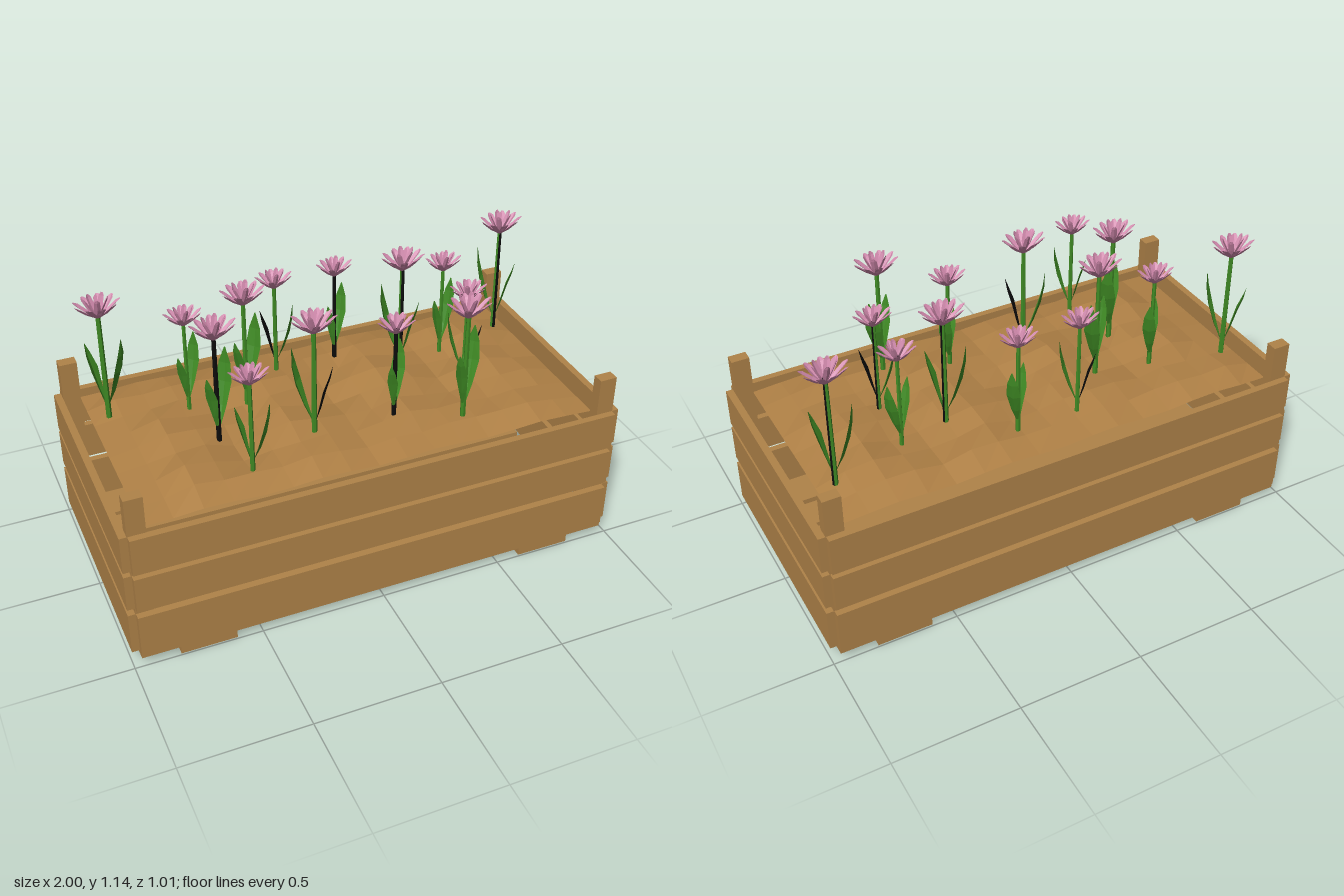
import * as THREE from 'three';

const mat = (name, color, extra = {}) => {
  const m = new THREE.MeshStandardMaterial({ color, ...extra });
  m.name = name;
  return m;
};

export function createModel() {
  const wood = mat('wood', 0xb08349);
  const soilMat = mat('soil', 0xb08146, { side: THREE.DoubleSide, flatShading: true });
  const green = mat('leaf green', 0x3f8a24, { side: THREE.DoubleSide, flatShading: true });
  const pink = mat('petal pink', 0xcf88ab, { side: THREE.DoubleSide, flatShading: true });
  const dark = mat('dark', 0x0c0c0c, { side: THREE.DoubleSide, flatShading: true });

  const model = new THREE.Group();
  model.name = 'flowerCrate';

  // Box given by its limits on each axis
  const box = (name, x0, x1, y0, y1, z0, z1) => {
    const mesh = new THREE.Mesh(new THREE.BoxGeometry(x1 - x0, y1 - y0, z1 - z0), wood);
    mesh.position.set((x0 + x1) / 2, (y0 + y1) / 2, (z0 + z1) / 2);
    mesh.name = name;
    model.add(mesh);
  };

  // Wall planks, three rows all round
  for (const [y0, y1] of [[0.062, 0.24], [0.267, 0.42], [0.44, 0.597]]) {
    box('frontPlank', -0.97, 0.97, y0, y1, 0.478, 0.505);
    box('backPlank', -0.97, 0.97, y0, y1, -0.505, -0.478);
    box('leftPlank', 0.972, 1, y0, y1, -0.478, 0.478);
    box('rightPlank', -1, -0.972, y0, y1, -0.478, 0.478);
  }

  // Corner posts and feet
  for (const s of [-1, 1]) {
    const [px0, px1] = s > 0 ? [0.902, 0.972] : [-0.972, -0.902];
    box('cornerPost', px0, px1, 0.062, 0.752, 0.432, 0.478);
    box('cornerPost', px0, px1, 0.062, 0.752, -0.478, -0.432);
    const [fx0, fx1] = s > 0 ? [0.6, 0.82] : [-0.82, -0.6];
    box('foot', fx0, fx1, 0, 0.04, -0.493, 0.493);
  }

  // Floor slats
  for (const [z0, z1] of [[0.327, 0.5], [0.175, 0.303], [0.02, 0.155],
    [-0.157, -0.005], [-0.31, -0.18], [-0.5, -0.33]]) {
    box('floorSlat', -0.97, 0.97, 0.04, 0.062, z0, z1);
  }

  // Lumpy soil sheet
  const soilHeight = (x, z) => {
    const fade = Math.min(1, (0.436 - Math.abs(z)) / 0.12) * Math.min(1, (0.906 - Math.abs(x)) / 0.15);
    const waves = 0.014 * Math.cos((x + 0.2) * 14.1) * Math.cos(z * 5 + x)
      + 0.008 * Math.sin(x * 23 + z * 17) - 0.006 * Math.cos(z * 21 - x * 6);
    return 0.594 + 0.006 * Math.cos((x + 0.2) * 14.1) + fade * (0.02 + waves);
  };
  const soilGeo = new THREE.PlaneGeometry(1.81, 0.87, 16, 8).rotateX(-Math.PI / 2);
  const pos = soilGeo.attributes.position;
  for (let i = 0; i < pos.count; i++) pos.setY(i, soilHeight(pos.getX(i), pos.getZ(i)));
  soilGeo.computeVertexNormals();
  const soil = new THREE.Mesh(soilGeo, soilMat);
  soil.name = 'soil';
  model.add(soil);

  // Thin folded blade from sections [outward, up, half width, fold depth]
  const blade = (sections) => {
    const verts = [], index = [];
    sections.forEach(([r, y, w, d], i) => {
      verts.push(r, y, -w, r + d, y - d, 0, r, y, w);
      if (i === 0) return;
      for (const k of [0, 1]) {
        const a = (i - 1) * 3 + k, b = i * 3 + k;
        index.push(a, a + 1, b, b, a + 1, b + 1);
      }
    });
    const g = new THREE.BufferGeometry();
    g.setAttribute('position', new THREE.Float32BufferAttribute(verts, 3));
    g.setIndex(index);
    g.computeVertexNormals();
    return g;
  };
  const outerPetal = blade([[0.004, 0.43, 0.004, 0], [0.04, 0.462, 0.014, 0.005],
    [0.073, 0.49, 0.014, 0.004], [0.088, 0.499, 0.005, 0]]);
  const innerPetal = blade([[0.003, 0.432, 0.004, 0], [0.022, 0.475, 0.013, 0.004],
    [0.04, 0.51, 0.011, 0.003], [0.046, 0.521, 0.004, 0]]);
  const bigLeaf = blade([[0.006, 0.05, 0.005, 0], [0.035, 0.13, 0.02, 0.006],
    [0.062, 0.22, 0.032, 0.008], [0.078, 0.29, 0.024, 0.005], [0.085, 0.355, 0.002, 0]]);
  const smallLeaf = blade([[0.006, 0.05, 0.005, 0], [0.022, 0.12, 0.014, 0.005],
    [0.04, 0.2, 0.024, 0.006], [0.06, 0.26, 0.016, 0.004], [0.072, 0.305, 0.002, 0]]);
  const stemHalf = new THREE.CylinderGeometry(0.009, 0.011, 0.445, 3, 1, true, 0, Math.PI)
    .translate(0, 0.2125, 0);
  const heart = new THREE.CylinderGeometry(0.01, 0.006, 0.02, 6).translate(0, 0.445, 0);

  const addFlower = ([x, z, scale, yaw, darkStem, darkLeaf]) => {
    const flower = new THREE.Group();
    flower.name = 'flower';
    const part = (name, geo, material, turn = 0, parent = flower) => {
      const mesh = new THREE.Mesh(geo, material);
      mesh.name = name;
      mesh.rotation.y = turn;
      parent.add(mesh);
    };
    part('stem', stemHalf, green, yaw);
    part('stem', stemHalf, darkStem ? dark : green, yaw + Math.PI);
    part('largeLeaf', bigLeaf, green, yaw);
    part('smallLeaf', smallLeaf, darkLeaf ? dark : green, yaw + Math.PI);
    // Blossom, a little narrower from front to back
    const blossom = new THREE.Group();
    blossom.name = 'blossom';
    blossom.scale.z = 0.74;
    for (let i = 0; i < 9; i++) part('outerPetal', outerPetal, pink, yaw + i * Math.PI * 2 / 9, blossom);
    for (let i = 0; i < 5; i++) part('innerPetal', innerPetal, pink, yaw + 0.35 + i * Math.PI * 2 / 5, blossom);
    part('flowerHeart', heart, dark, 0, blossom);
    flower.add(blossom);
    flower.scale.setScalar(scale);
    flower.position.set(x, 0.618, z);
    model.add(flower);
  };

  // x, z, size, turn, dark stem side, dark leaf
  const tall = 1, low = 0.85;
  [
    [-0.84, -0.23, tall, -0.75, 0, 0],
    [-0.54, -0.16, low, 0.8, 0, 0],
    [-0.32, -0.11, tall, 0.7, 0, 0],
    [-0.13, -0.29, low, -0.6, 0, 1],
    [0.125, -0.29, low, 0.75, 1, 0],
    [0.34, -0.12, tall, 2.4, 1, 0],
    [0.54, -0.16, low, 0.6, 0, 0],
    [0.84, -0.25, tall, 2.5, 1, 0],
    [-0.5, 0.08, tall, 0.8, 1, 0],
    [-0.155, 0.18, tall, 2.5, 0, 1],
    [0.165, 0.2, low, 0.9, 1, 0],
    [0.525, 0.08, low, 2.6, 1, 1],
    [0.41, 0.3, tall, 0.75, 0, 0],
    [-0.45, 0.31, low, -0.7, 0, 0],
  ].forEach(addFlower);

  return model;
}
